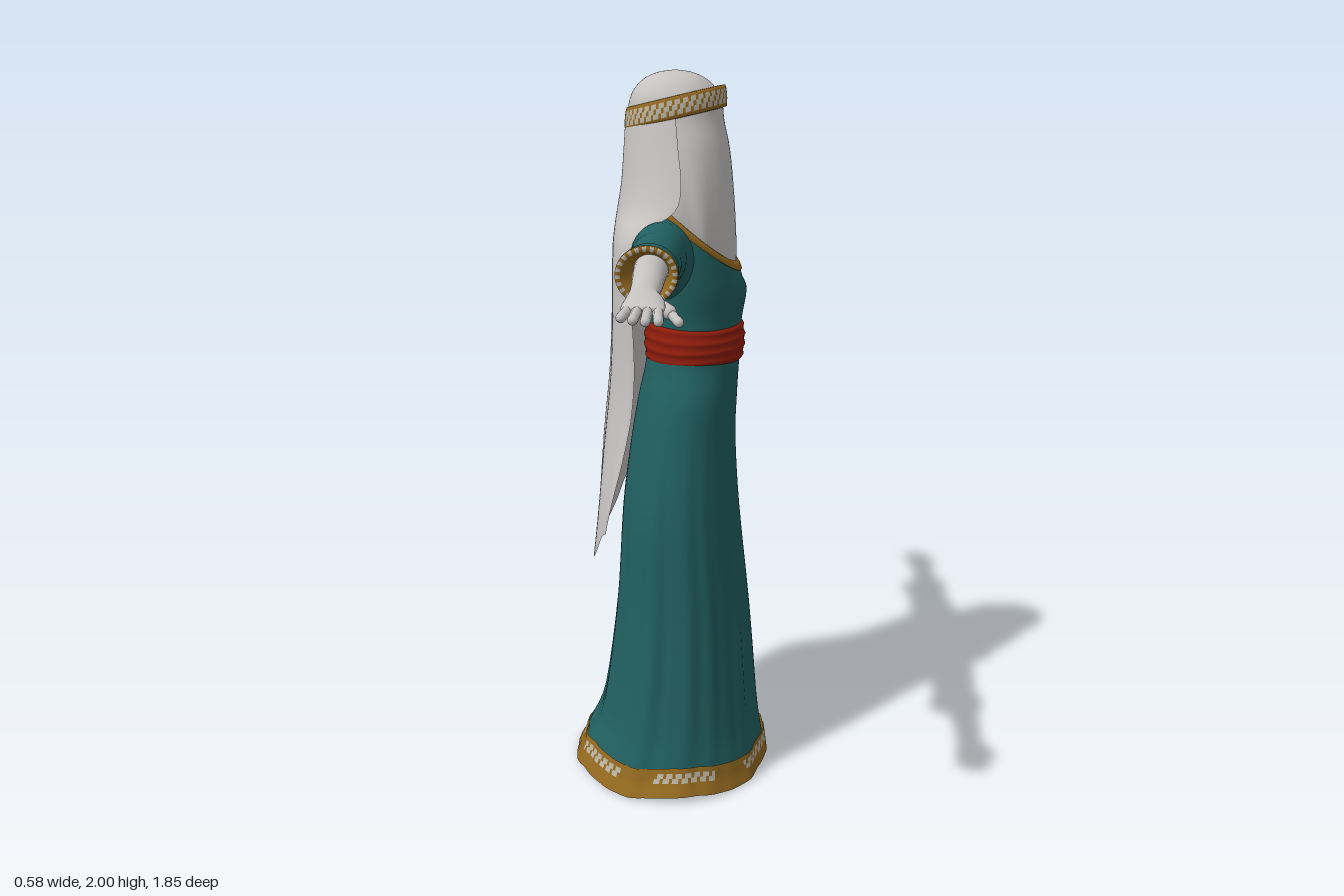
import * as THREE from 'three';

const make = (name, color) => {
  const m = new THREE.MeshStandardMaterial({ color, side: THREE.DoubleSide });
  m.name = name;
  return m;
};

// Lofted cloth: each row is [height, centre x, radius x, radius z, tilt along x, centre z].
function loft(name, mats, rows, { seg = 64, steps = 4, a0 = 0, a1 = Math.PI * 2, fold = () => 1, lift = () => 0, pick = () => 0 } = {}) {
  const full = rows.map(r => [0, 1, 2, 3, 4, 5].map(i => r[i] ?? 0));
  const spline = new THREE.CubicInterpolant(full.map((r, i) => i), full.flat(), 6);
  const count = (rows.length - 1) * steps;
  const closed = a1 - a0 > 6.28;
  const cols = closed ? seg : seg + 1;
  const pos = [];
  for (let j = 0; j <= count; j++) {
    const [y, cx, rx, rz, tilt, cz] = Array.from(spline.evaluate(j / steps));
    for (let i = 0; i < cols; i++) {
      const a = a0 + (a1 - a0) * i / seg;
      const f = fold(a, y);
      const dx = rx * f * Math.cos(a);
      pos.push(cx + dx, y + tilt * dx + lift(a, y), cz + rz * f * Math.sin(a));
    }
  }
  const list = Array.isArray(mats) ? mats : [mats];
  const faces = list.map(() => []);
  for (let j = 0; j < count; j++) for (let i = 0; i < seg; i++) {
    const n = (i + 1) % cols;
    const p = j * cols + i, q = j * cols + n;
    faces[pick(j, i)].push(p, p + cols, q, q, p + cols, q + cols);
  }
  const geo = new THREE.BufferGeometry();
  geo.setAttribute('position', new THREE.Float32BufferAttribute(pos, 3));
  geo.setIndex(faces.flat());
  let start = 0;
  if (list.length > 1) faces.forEach((f, k) => { geo.addGroup(start, f.length, k); start += f.length; });
  geo.computeVertexNormals();
  const mesh = new THREE.Mesh(geo, mats);
  mesh.name = name;
  return mesh;
}

// Rounded finger between two points
function finger(name, mat, p, q, r) {
  const a = new THREE.Vector3(...p), b = new THREE.Vector3(...q);
  const d = b.clone().sub(a);
  const mesh = new THREE.Mesh(new THREE.CapsuleGeometry(r, d.length(), 4, 10), mat);
  mesh.name = name;
  mesh.position.copy(a).add(b).multiplyScalar(0.5);
  mesh.quaternion.setFromUnitVectors(new THREE.Vector3(0, 1, 0), d.normalize());
  return mesh;
}

export function createModel() {
  const teal = make('teal cloth', 0x215f60);
  const white = make('pale linen and skin', 0xc5c2c0);
  const gold = make('gold trim', 0x91671f);
  const beige = make('pale embroidery', 0xb8b2a3);
  const brown = make('brown lining', 0x6b5630);
  const red = make('red sash', 0x901d0c);
  const { clamp } = THREE.MathUtils;
  const model = new THREE.Group();
  model.name = 'robedFigure';

  // Dress with pleats that deepen below the waist and soften at the hem
  const pleats = (a, y) => {
    const k = clamp((1.15 - y) / 0.8, 0, 1) * clamp(0.4 + y * 2, 0, 1);
    return 1 + k * (0.014 * Math.cos(9 * a + 0.6) + 0.012 * Math.sin(14 * a) + 0.008 * Math.cos(23 * a));
  };
  model.add(loft('dress', teal, [
    [0.07, 0.008, 0.263, 0.285, 0, -0.01],
    [0.2, 0.025, 0.226, 0.268, 0, -0.012],
    [0.5, 0.033, 0.192, 0.242, 0, -0.005],
    [0.8, 0.028, 0.166, 0.228],
    [1.0, 0.035, 0.147, 0.2],
    [1.12, 0.047, 0.138, 0.18],
    [1.22, 0.06, 0.13, 0.148],
    [1.33, 0.065, 0.13, 0.143],
    [1.43, 0.066, 0.142, 0.16, -0.1],
    [1.52, 0.058, 0.138, 0.172, -0.5],
    [1.6, 0.05, 0.134, 0.18, -0.82],
  ], { seg: 128, fold: pleats }));

  // Wavy gold hem with patches of pale embroidered tiles, and the lining below
  const wave = a => 0.007 * Math.sin(5 * a + 1);
  model.add(loft('hem', [gold, beige], [
    [0.012, 0, 0.287, 0.313, 0, -0.005],
    [0.034, 0.003, 0.281, 0.304, 0, -0.008],
    [0.046, 0.006, 0.276, 0.298, 0, -0.01],
    [0.06, 0.008, 0.272, 0.294, 0, -0.01],
    [0.074, 0.009, 0.269, 0.291, 0, -0.01],
    [0.088, 0.011, 0.265, 0.287, 0, -0.01],
  ], {
    seg: 192, steps: 1, fold: pleats, lift: wave,
    pick: (j, i) => ((j === 2 || j === 3) && (i + j) % 3 && i % 32 < 20 ? 1 : 0),
  }));
  model.add(loft('hemLining', brown, [
    [0.06, 0, 0.001, 0.001],
    [0.05, 0, 0.23, 0.25],
    [0.012, 0, 0.286, 0.312, 0, -0.005],
  ], { seg: 128, steps: 1, fold: pleats, lift: (a, y) => (y < 0.02 ? wave(a) : 0) }));

  // Feet
  for (const z of [0.09, -0.12]) {
    const foot = new THREE.Mesh(new THREE.SphereGeometry(1, 24, 12), white);
    foot.name = 'foot';
    foot.scale.set(0.138, 0.04, 0.05);
    foot.position.set(0.108, 0.04, z);
    foot.rotation.y = z > 0 ? -0.12 : 0.12;
    model.add(foot);
  }

  // Wrapped sash with soft, slightly slanted folds
  const sash = [];
  for (let i = 0; i <= 24; i++) {
    const t = i / 24, b = 0.012 * Math.sqrt(Math.sin(Math.PI * t)) - 0.004 * Math.abs(Math.cos(t * Math.PI * 4));
    sash.push([1.22 + 0.112 * t, 0.065, 0.13 + b, 0.141 + b]);
  }
  model.add(loft('sash', red, sash, { steps: 1, lift: (a, y) => 0.004 * Math.sin(2 * a + 1 + 20 * y) }));

  // Neckline trim
  model.add(loft('necklineTrim', gold, [
    [1.58, 0.052, 0.14, 0.184, -0.78],
    [1.592, 0.051, 0.143, 0.187, -0.82],
    [1.604, 0.05, 0.138, 0.183, -0.84],
    [1.603, 0.05, 0.126, 0.168, -0.84],
  ], { steps: 2 }));

  // Veil over the head and face with a faint centre ridge, tucked into the neckline
  const drape = (a, y) => 1 + clamp((1.85 - y) / 0.2, 0, 1) * (0.014 * Math.cos(11 * a) + 0.02 * Math.cos(a / 2) ** 80);
  model.add(loft('headVeil', white, [
    [1.56, 0.05, 0.126, 0.165, -0.78],
    [1.63, 0.044, 0.13, 0.178, -0.65],
    [1.71, 0.03, 0.138, 0.17, -0.3],
    [1.8, 0.02, 0.137, 0.147, -0.05],
    [1.87, 0.012, 0.13, 0.126],
    [1.92, 0.012, 0.124, 0.119],
    [1.95, 0.011, 0.11, 0.105],
    [1.977, 0.01, 0.083, 0.08],
    [1.994, 0.01, 0.044, 0.042],
    [2.0, 0.01, 0.001, 0.001],
  ], { fold: drape }));

  // Long veil over the shoulders and down the back
  model.add(loft('backVeil', white, [
    [1.89, 0.02, 0.142, 0.125],
    [1.8, 0.03, 0.158, 0.152],
    [1.71, 0.04, 0.175, 0.183],
    [1.645, 0.025, 0.17, 0.206],
    [1.59, -0.055, 0.098, 0.22],
    [1.53, -0.088, 0.07, 0.224],
    [1.4, -0.085, 0.076, 0.228],
    [1.2, -0.078, 0.092, 0.242],
    [1.0, -0.1, 0.09, 0.267, 0, -0.006],
    [0.8, -0.135, 0.07, 0.292, 0, -0.012],
    [0.68, -0.155, 0.062, 0.284, 0, -0.012],
  ], {
    seg: 48, a0: Math.PI / 2, a1: Math.PI * 1.5,
    fold: (a, y) => 1 + 0.025 * clamp((1.7 - y) / 0.6, 0, 1) * Math.cos(8 * a),
    lift: (a, y) => 0.11 * Math.sin(a) ** 6 * clamp((1.1 - y) / 0.4, 0, 1),
  }));

  // Tilted headband: gold rims around a finely chequered middle
  model.add(loft('headband', [gold, beige], [
    [1.874, 0.012, 0.128, 0.121, 0.23],
    [1.875, 0.012, 0.136, 0.129, 0.23],
    [1.884, 0.012, 0.137, 0.13, 0.23],
    [1.897, 0.012, 0.137, 0.13, 0.23],
    [1.91, 0.012, 0.136, 0.129, 0.23],
    [1.923, 0.012, 0.134, 0.127, 0.23],
    [1.932, 0.012, 0.131, 0.124, 0.23],
    [1.933, 0.012, 0.112, 0.107, 0.23],
  ], { seg: 120, steps: 1, pick: (j, i) => (j > 1 && j < 5 && (i + j) % 3 ? 1 : 0) }));

  // Arms: lofts run outward along z, heights are offsets below y = 1.5
  for (const side of [1, -1]) {
    const arm = new THREE.Group();
    arm.name = side > 0 ? 'leftArm' : 'rightArm';
    arm.position.y = 1.5;
    arm.scale.z = side;
    const along = mesh => { mesh.rotation.x = Math.PI / 2; arm.add(mesh); };

    along(loft('sleeve', teal, [
      [0.06, 0.02, 0.08, 0.11, 0, 0.0],
      [0.14, 0.0, 0.082, 0.106, 0, -0.018],
      [0.2, -0.01, 0.076, 0.088, 0, -0.035],
      [0.3, -0.012, 0.068, 0.07, 0, -0.037],
      [0.4, -0.012, 0.062, 0.058, 0, -0.034],
      [0.46, -0.014, 0.064, 0.06, 0, -0.033],
      [0.475, -0.015, 0.073, 0.067, 0, -0.032],
      [0.54, -0.015, 0.073, 0.067, 0, -0.031],
    ], { seg: 32, steps: 6, fold: (a, y) => 1 + 0.025 * Math.sin(y * 75 + 2 * Math.sin(a) + a) * (y < 0.46 ? 1 : 0.2) }));
    along(loft('cuffTrim', [gold, beige], [
      [0.524, -0.015, 0.075, 0.069, 0, -0.031],
      [0.533, -0.015, 0.076, 0.07, 0, -0.031],
      [0.545, -0.015, 0.075, 0.069, 0, -0.031],
      [0.545, -0.015, 0.062, 0.056, 0, -0.031],
      [0.5, -0.012, 0.035, 0.035, 0, -0.035],
    ], { seg: 48, steps: 1, pick: (j, i) => (j === 2 && i % 2 ? 1 : 0) }));
    along(loft('forearmAndPalm', white, [
      [0.45, -0.008, 0.044, 0.042, 0, -0.044],
      [0.58, -0.004, 0.04, 0.036, 0, -0.037],
      [0.68, 0.0, 0.036, 0.029, 0, -0.028],
      [0.745, 0.0, 0.034, 0.023, 0, -0.019],
      [0.79, 0.006, 0.043, 0.021, 0, -0.013],
      [0.835, 0.007, 0.048, 0.017, 0, -0.006],
      [0.856, 0.007, 0.042, 0.009, 0, -0.004],
      [0.86, 0.007, 0.001, 0.001, 0, -0.004],
    ], { seg: 28 }));

    // Fingers and thumb
    [[-0.031, 0.893], [-0.007, 0.91], [0.018, 0.914], [0.042, 0.9]].forEach(([x, z], i) => {
      arm.add(finger('finger', white, [x * 0.85 + 0.003, 0.004, 0.835], [x * 1.1, -0.006 - 0.002 * i, z], 0.0115));
    });
    arm.add(finger('thumbBase', white, [0.03, 0.004, 0.77], [0.062, -0.01, 0.8], 0.016));
    arm.add(finger('thumb', white, [0.062, -0.01, 0.8], [0.084, -0.026, 0.832], 0.011));
    model.add(arm);
  }
  return model;
}
